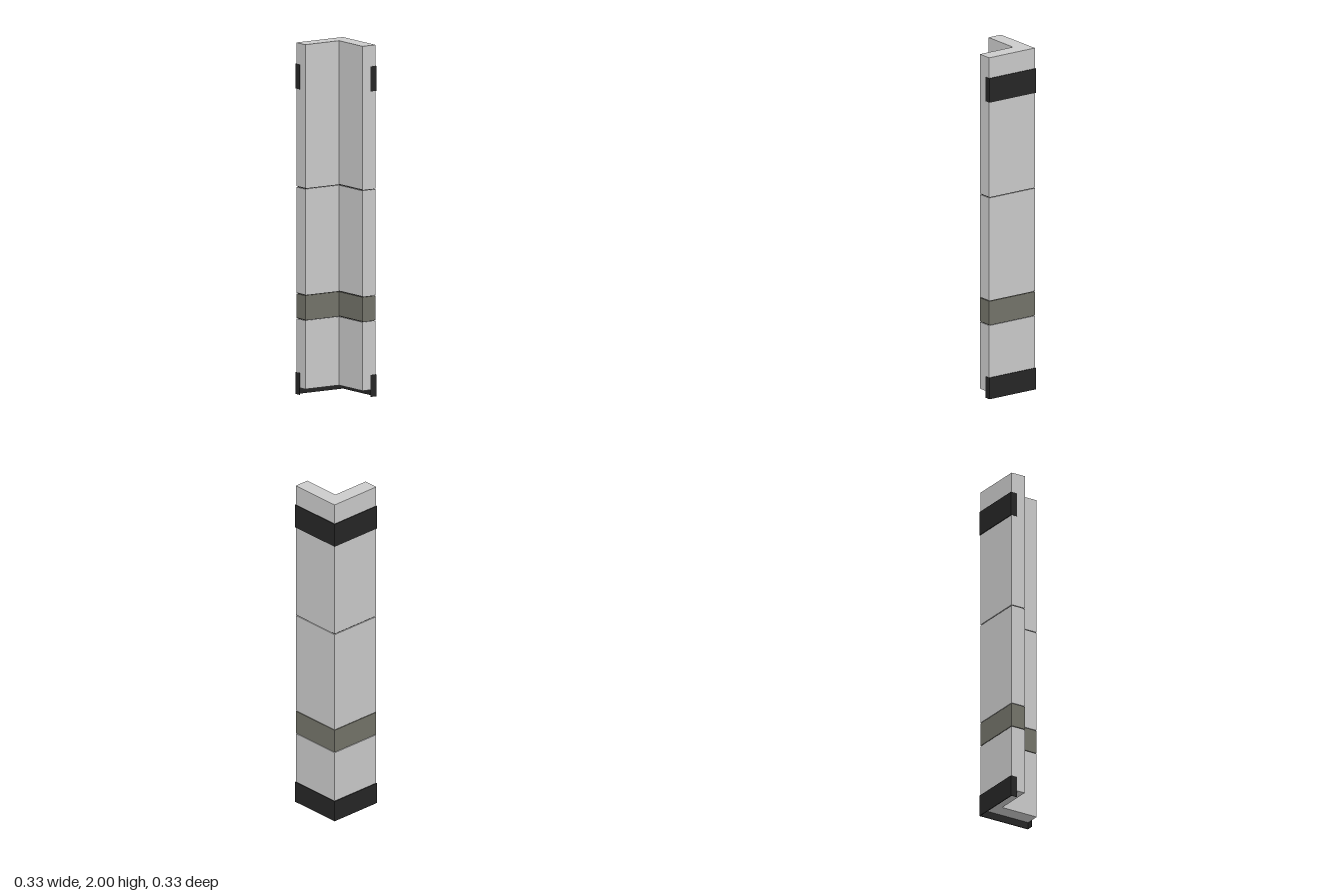
import * as THREE from 'three';

const grey = new THREE.MeshStandardMaterial({ color: 0xcccccc });
const olive = new THREE.MeshStandardMaterial({ color: 0x74746a });
const dark = new THREE.MeshStandardMaterial({ color: 0x262626 });

// Upright prism from a plan outline; plan coordinates are (x, -z)
function prism(name, outline, y0, y1, material) {
  const shape = new THREE.Shape(outline.map(([x, y]) => new THREE.Vector2(x, y)));
  const geometry = new THREE.ExtrudeGeometry(shape, { depth: y1 - y0, bevelEnabled: false });
  geometry.rotateX(-Math.PI / 2);
  geometry.translate(0, y0, 0);
  const mesh = new THREE.Mesh(geometry, material);
  mesh.name = name;
  return mesh;
}

// L-shaped plan, its outer corner at +x and -z, shrunk by an inset
function lPlan(inset) {
  const end = -0.162 + inset, inner = 0.069 + inset, outer = 0.157 - inset;
  return [[end, inner], [inner, inner], [inner, end], [outer, end], [outer, outer], [end, outer]];
}

// Thin strap around the outer faces, hooked over both arm ends
function strapPlan() {
  const far = -0.1635, end = -0.162, lip = 0.122, face = 0.157, outer = 0.162;
  return [
    [far, lip], [end, lip], [end, face], [face, face], [face, end], [lip, end],
    [lip, far], [outer, far], [outer, outer], [far, outer],
  ];
}

export function createModel() {
  const group = new THREE.Group();
  group.name = 'cornerColumn';

  // Wall blocks, separated by narrow grooves
  const blocks = [
    ['lowerBlock', 0.04, 0.43, grey],
    ['colouredBand', 0.434, 0.572, olive],
    ['middleBlock', 0.576, 1.178, grey],
    ['upperBlock', 1.183, 2, grey],
  ];
  for (const [name, y0, y1, material] of blocks) {
    group.add(prism(name, lPlan(0), y0, y1, material));
  }

  // Recessed core that shows in the grooves
  group.add(prism('grooveCore', lPlan(0.006), 0.05, 1.95, dark));

  // Dark straps at the foot and near the top
  group.add(prism('footStrap', strapPlan(), 0, 0.125, dark));
  group.add(prism('topStrap', strapPlan(), 1.738, 1.88, dark));

  return group;
}
